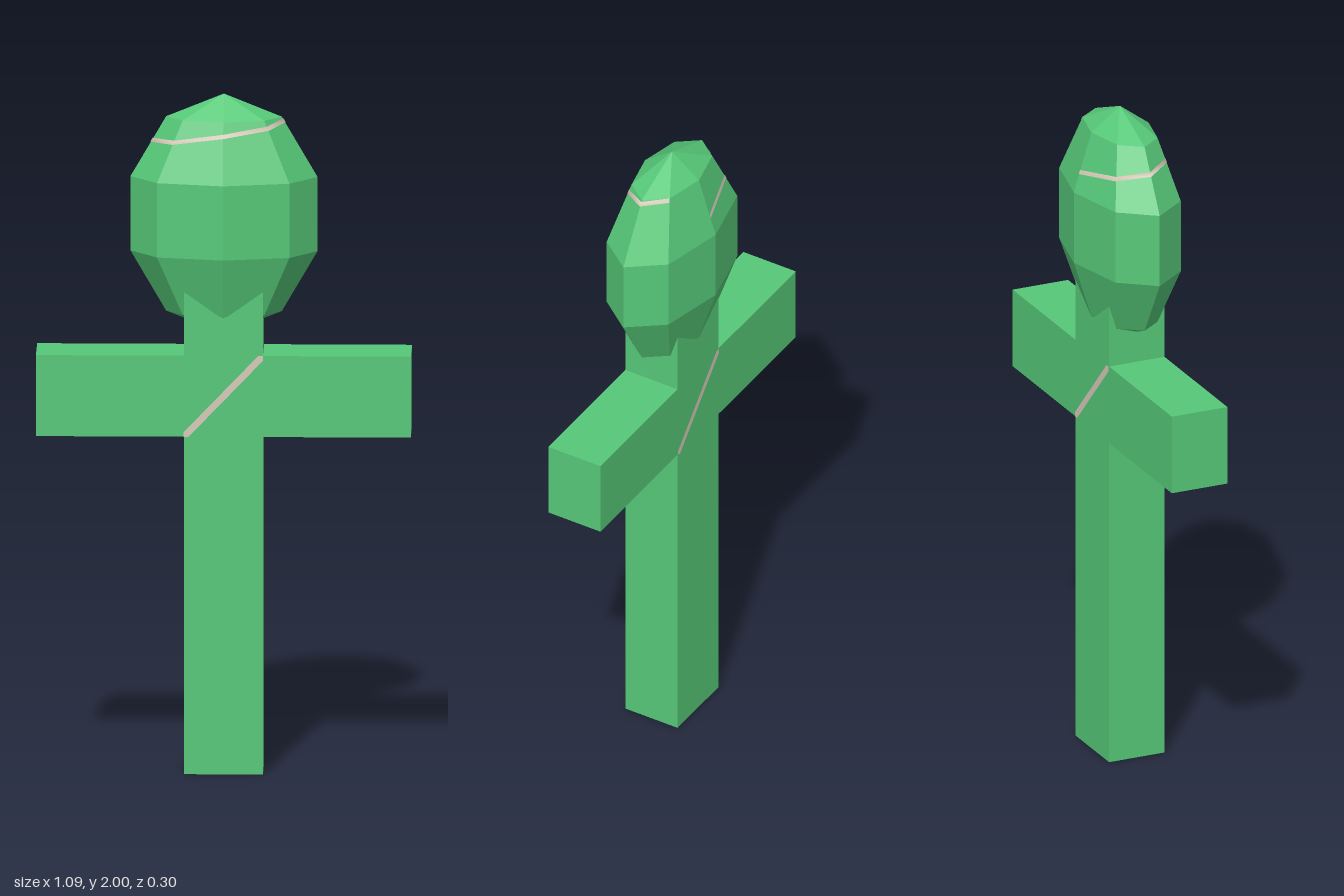
import * as THREE from 'three';

export function createModel() {
  const group = new THREE.Group();
  const green = new THREE.MeshStandardMaterial({ color: 0x56c878, flatShading: true });
  green.name = 'green';
  const pale = new THREE.MeshStandardMaterial({ color: 0xd6cab8, side: THREE.DoubleSide });
  pale.name = 'pale beige';

  const add = (name, geometry, material) => {
    const mesh = new THREE.Mesh(geometry, material);
    mesh.name = name;
    group.add(mesh);
    return mesh;
  };

  // Post and arms as one solid cross; the post top is sunk into the head
  const postX = 0.115, armX = 0.545, armLow = 1.0, armHigh = 1.24, depth = 0.178;
  const right = [[postX, 0], [postX, armLow], [armX, armLow], [armX, armHigh], [postX, armHigh], [postX, 1.48]];
  const left = right.map(([x, y]) => [-x, y]).reverse();
  const cross = new THREE.Shape([...right, ...left].map(([x, y]) => new THREE.Vector2(x, y)));
  const crossGeo = new THREE.ExtrudeGeometry(cross, { depth, bevelEnabled: false });
  crossGeo.translate(0, 0, -depth / 2);
  add('postAndArms', crossGeo, green);

  // Faceted, flattened head
  const rx = 0.286, ry = 0.356, rz = 0.156, headY = 2 - ry;
  const headGeo = new THREE.SphereGeometry(1, 8, 5);
  headGeo.scale(rx, ry, rz);
  headGeo.translate(0, headY, 0);
  add('head', headGeo, green);

  // Thin diagonal stripe where the arms cross, front and back
  const stripe = new THREE.Shape([
    [-postX, armLow], [-postX + 0.014, armLow], [postX, armHigh - 0.014],
    [postX, armHigh], [postX - 0.014, armHigh], [-postX, armLow + 0.014],
  ].map(([x, y]) => new THREE.Vector2(x, y)));
  for (const [name, turn] of [['frontStripe', 0], ['backStripe', Math.PI]]) {
    const geo = new THREE.ShapeGeometry(stripe);
    geo.translate(0, 0, depth / 2 + 0.0015);
    geo.rotateY(turn);
    add(name, geo, pale);
  }

  // Thin band climbing around the upper head, one point per facet edge
  const heights = [1.815, 1.842, 1.862, 1.869, 1.892, 1.91, 1.922, 1.927];
  const positions = [], index = [];
  heights.forEach((h, i) => {
    const angle = Math.PI * (1.5 - i / 4);
    for (const y of [h - 0.006, h + 0.006]) {
      const r = 1.01 * (0.588 + 0.363 * (1.932 - y) / 0.178);
      positions.push(rx * r * Math.cos(angle), y, rz * r * Math.sin(angle));
    }
    const a = i * 2;
    if (i < heights.length - 1) index.push(a, a + 2, a + 1, a + 1, a + 2, a + 3);
  });
  const bandGeo = new THREE.BufferGeometry();
  bandGeo.setAttribute('position', new THREE.Float32BufferAttribute(positions, 3));
  bandGeo.setIndex(index);
  bandGeo.computeVertexNormals();
  // Keep the normals pointing outward
  const n = bandGeo.attributes.normal, p = bandGeo.attributes.position;
  if (n.getX(0) * p.getX(0) + n.getZ(0) * p.getZ(0) < 0) {
    bandGeo.setIndex([...index].reverse());
    bandGeo.computeVertexNormals();
  }
  add('headBand', bandGeo, pale);

  return group;
}
